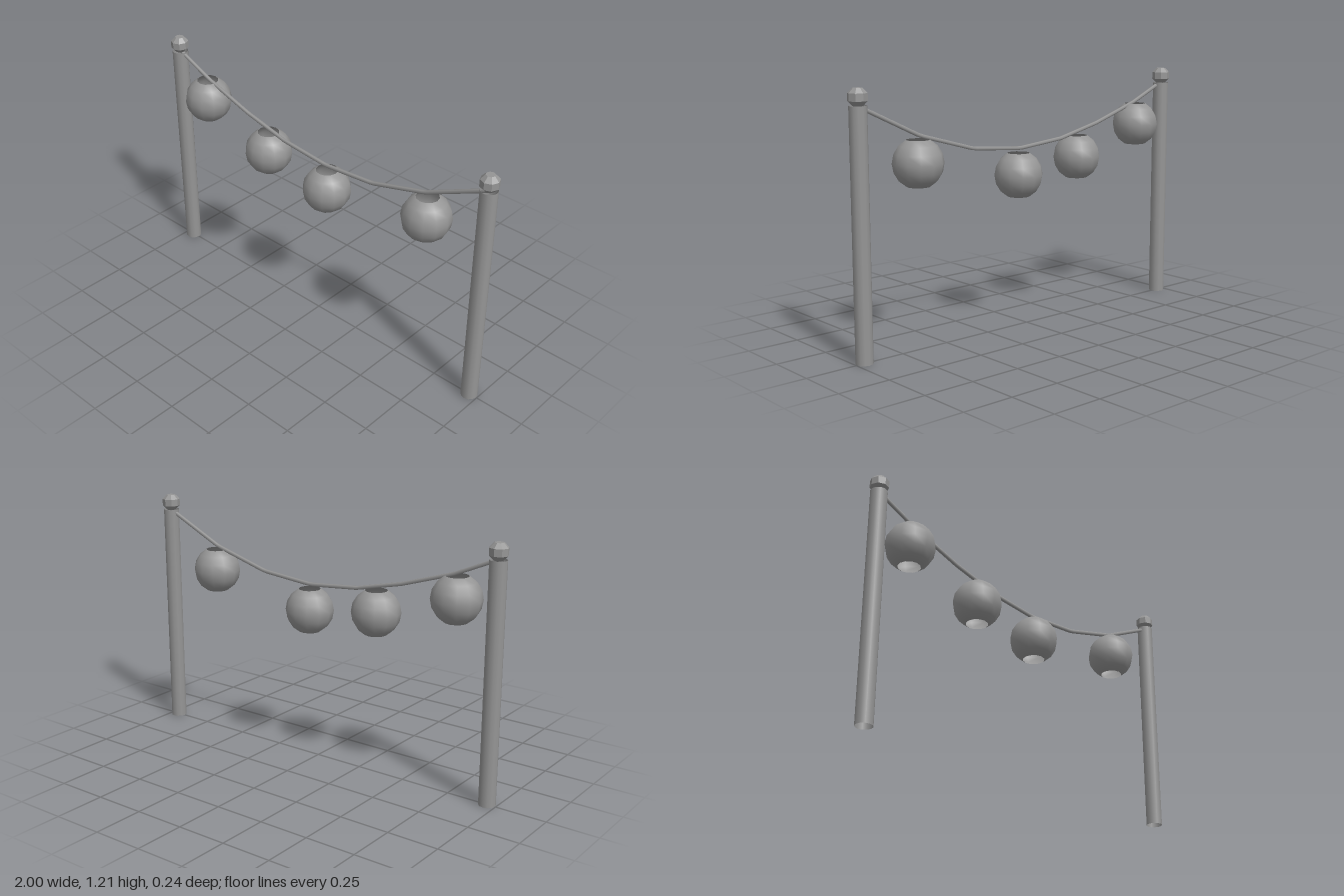
import * as THREE from 'three';

export function createModel() {
  const group = new THREE.Group();
  const color = 0x959595;
  const grey = new THREE.MeshStandardMaterial({ color });
  const faceted = new THREE.MeshStandardMaterial({ color, flatShading: true });
  const open = new THREE.MeshStandardMaterial({ color, side: THREE.DoubleSide });

  const add = (name, geometry, material, x = 0, y = 0) => {
    const mesh = new THREE.Mesh(geometry, material);
    mesh.name = name;
    mesh.position.set(x, y, 0);
    group.add(mesh);
  };

  // Two hollow posts, each topped by a faceted octagonal knob
  const knobProfile = [[0, 1.134], [0.022, 1.134], [0.044, 1.156], [0.044, 1.19], [0.022, 1.212], [0, 1.212]]
    .map(([r, y]) => new THREE.Vector2(r, y));
  for (const [side, x] of [['left', 0.956], ['right', -0.956]]) {
    add(side + 'Post', new THREE.CylinderGeometry(0.04, 0.04, 1.136, 12, 1, true), open, x, 0.568);
    add(side + 'Knob', new THREE.LatheGeometry(knobProfile, 8), faceted, x);
  }

  // Sagging cord made of straight runs
  const cord = new THREE.CurvePath();
  const points = [[-0.955, 1.137], [-0.74, 1.042], [-0.473, 0.956], [-0.225, 0.898], [0.045, 0.873],
    [0.33, 0.897], [0.635, 0.982], [0.955, 1.133]].map(([x, y]) => new THREE.Vector3(x, y, 0));
  for (let i = 1; i < points.length; i++) cord.add(new THREE.LineCurve3(points[i - 1], points[i]));
  add('cord', new THREE.TubeGeometry(cord, 70, 0.01, 6), grey);

  // Round paper lanterns, open at top and bottom
  const cut = 0.47; // polar angle of the openings
  const lantern = new THREE.SphereGeometry(0.118, 12, 6, 0, Math.PI * 2, cut, Math.PI - 2 * cut);
  [[-0.76, 0.932], [-0.335, 0.799], [0.052, 0.746], [0.646, 0.86]]
    .forEach(([x, y], i) => add('lantern' + (i + 1), lantern, open, x, y));

  return group;
}
